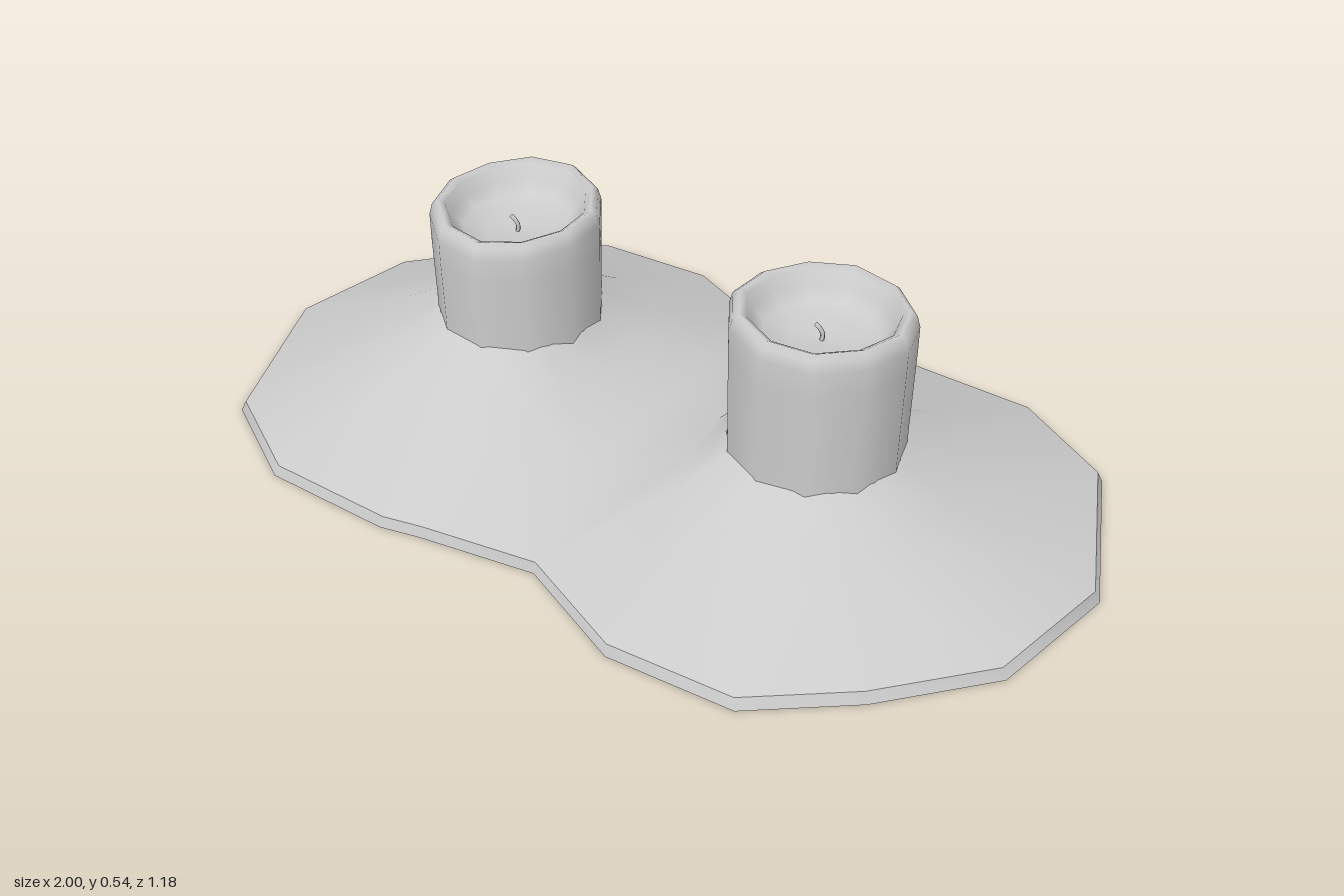
import * as THREE from 'three';
import { mergeVertices } from 'three/addons/utils/BufferGeometryUtils.js';

const wax = new THREE.MeshStandardMaterial({ color: 0xcccccc });
const RADIUS = 0.19;
const CENTRE = [-0.397, -0.01];

// Outer edge of one lobe (x, z), from the back waist round to the front waist
const EDGE = [[-0.04, -0.49], [-0.3, -0.59], [-0.58, -0.56], [-0.77, -0.4], [-0.95, -0.19], [-1, 0.11],
  [-0.84, 0.46], [-0.61, 0.58], [-0.31, 0.57], [-0.22, 0.545], [0.04, 0.485]];
// Valley between the lobes (x, y, z)
const VALLEY = [[0.018, 0.09, 0.24], [0, 0.11, 0], [-0.018, 0.09, -0.24]];
const RIM_Y = 0.025;

// Indexed quads between consecutive loops of points
function skin(loops, closed) {
  const n = loops[0].length, index = [];
  for (let r = 0; r < loops.length - 1; r++) {
    for (let i = 0; i < (closed ? n : n - 1); i++) {
      const j = (i + 1) % n, a = r * n + i, b = a + n, c = (r + 1) * n + j, d = r * n + j;
      index.push(a, b, c, a, c, d);
    }
  }
  return { points: loops.flat(2), index };
}

function geometryFrom({ points, index }) {
  let g = new THREE.BufferGeometry();
  g.setAttribute('position', new THREE.Float32BufferAttribute(points, 3));
  g.setIndex(index);
  g = mergeVertices(g, 1e-4);
  g.computeVertexNormals();
  return g;
}

const turn = ([x, y, z]) => [-x, y, -z];

// Melted wax spreading out from both candles
function makePuddle() {
  const group = new THREE.Group();
  group.name = 'waxPuddle';

  const outer = [...EDGE.map(([x, z]) => [x * 0.988, RIM_Y, z * 0.985]), ...VALLEY];
  // the waist ends keep the two lobes joined
  const inner = outer.map(([x, , z]) => {
    const dx = x - CENTRE[0], dz = z - CENTRE[1], k = 0.182 / Math.hypot(dx, dz);
    return [CENTRE[0] + dx * k, 0.215, CENTRE[1] + dz * k];
  });
  const middle = outer.map((p, i) => {
    const t = 0.28;
    return [inner[i][0] + (p[0] - inner[i][0]) * t, 0.147, inner[i][2] + (p[2] - inner[i][2]) * t];
  });
  // make the waist ends exact half-turn images of each other
  const last = EDGE.length - 1;
  outer[last] = turn(outer[0]);

  const lobe = skin([inner, middle, outer], true);
  const count = lobe.points.length / 3;
  const turned = [...inner, ...middle, ...outer].map(turn).flat();
  const slope = geometryFrom({
    points: [...lobe.points, ...turned],
    index: [...lobe.index, ...lobe.index.map(i => i + count)],
  });
  const top = new THREE.Mesh(slope, wax);
  top.name = 'puddleSlope';

  // Thin outer wall
  const half = outer.slice(0, last);
  const rim = [...half, ...half.map(turn)];
  const foot = rim.map(([x, , z]) => [x / 0.988, 0, z / 0.985]);
  const wall = new THREE.Mesh(geometryFrom(skin([rim, foot], true)), wax);
  wall.name = 'puddleRim';

  // Flat underside
  const shape = new THREE.Shape(foot.map(([x, , z]) => new THREE.Vector2(x, z)));
  const under = new THREE.Mesh(new THREE.ShapeGeometry(shape).rotateX(Math.PI / 2), wax);
  under.name = 'puddleUnderside';

  group.add(top, wall, under);
  return group;
}

// Candle with a hollow, uneven top and a small bent wick
function makeCandle(name, height, tilt, phase) {
  const group = new THREE.Group();
  group.name = name;
  const profile = [[0.187, 0.15], [0.187, 0.24], [RADIUS, height - 0.09], [RADIUS, height - 0.035],
    [0.183, height - 0.01], [0.17, height], [0.155, height - 0.008], [0.143, height - 0.035],
    [0.12, height - 0.062], [0.07, height - 0.075], [0, height - 0.08]];
  const body = new THREE.LatheGeometry(profile.map(p => new THREE.Vector2(...p)), 11, phase);
  const pos = body.attributes.position;
  for (let i = 0; i < pos.count; i++) {
    const y = pos.getY(i);
    if (y < height - 0.1) continue;
    const x = pos.getX(i), z = pos.getZ(i), r = Math.hypot(x, z) / RADIUS;
    const wave = 0.004 * r * Math.sin(3 * Math.atan2(z, x) + phase);
    pos.setY(i, y + tilt * z / RADIUS + wave);
  }
  const stick = new THREE.Mesh(body, wax);
  stick.name = 'candleBody';

  const y = height - 0.085;
  const path = new THREE.CatmullRomCurve3([[0, y, 0], [0.002, y + 0.02, 0], [-0.006, y + 0.035, 0.003],
    [-0.014, y + 0.04, 0.004]].map(p => new THREE.Vector3(...p)));
  const wick = new THREE.Mesh(new THREE.TubeGeometry(path, 8, 0.005, 5), wax);
  wick.name = 'wick';
  group.add(stick, wick);
  return group;
}

export function createModel() {
  const model = new THREE.Group();
  model.name = 'meltedCandles';
  const short = makeCandle('shortCandle', 0.485, -0.011, 0.2);
  short.position.set(CENTRE[0], 0, CENTRE[1]);
  const tall = makeCandle('tallCandle', 0.535, 0.009, 0.45);
  tall.position.set(-CENTRE[0], 0, -CENTRE[1]);
  model.add(makePuddle(), short, tall);
  return model;
}
